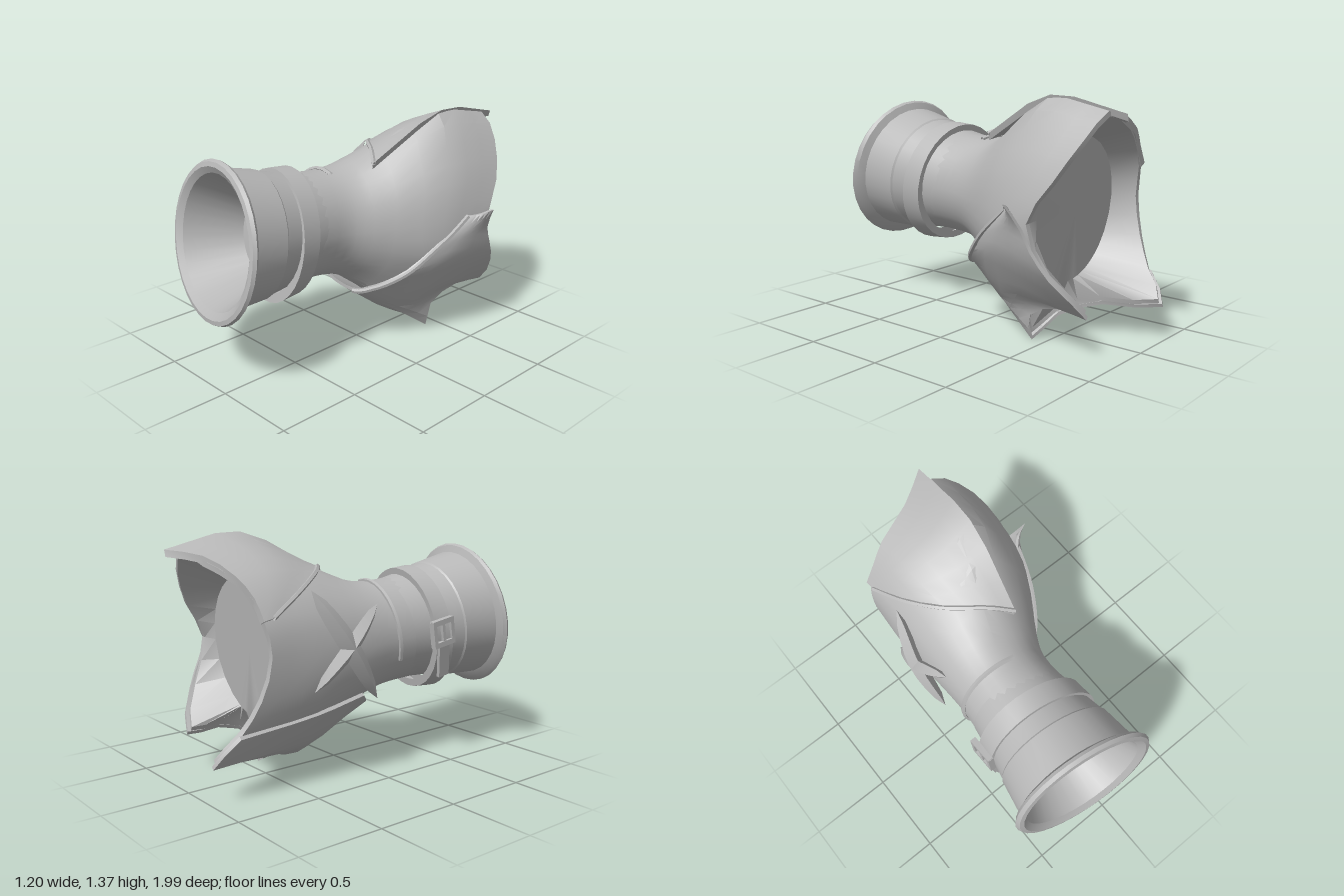
import * as THREE from 'three';
import { toCreasedNormals } from 'three/addons/utils/BufferGeometryUtils.js';

const steel = new THREE.MeshStandardMaterial({ color: 0xb8b8b8, side: THREE.DoubleSide });
steel.name = 'steel';

const V = (p) => new THREE.Vector3(...p);

// Skin a surface over a list of equal-length loops.
function loft(loops, closed = true, wrap = false) {
  const n = loops[0].length, pos = [], idx = [];
  loops.forEach((l) => l.forEach((p) => pos.push(p.x, p.y, p.z)));
  const rows = wrap ? loops.length : loops.length - 1;
  for (let i = 0; i < rows; i++) {
    for (let j = 0; j < (closed ? n : n - 1); j++) {
      const k = (j + 1) % n, r = ((i + 1) % loops.length) * n;
      const a = i * n + j, b = i * n + k, c = r + k, d = r + j;
      idx.push(a, b, c, a, c, d);
    }
  }
  const g = new THREE.BufferGeometry();
  g.setAttribute('position', new THREE.Float32BufferAttribute(pos, 3));
  g.setIndex(idx);
  return toCreasedNormals(g, 0.4);
}

// Point on a tilted elliptical section of the wrist: s = [z, cx, cy, rx, ry].
function onRing([z, cx, cy, rx, ry], a) {
  const x = Math.cos(a) * rx, y = Math.sin(a) * ry;
  return new THREE.Vector3(cx + x, cy + y, z + 0.12 * x - 0.15 * y);
}
function ringLoft(sections, n = 32) {
  return loft(sections.map((s) =>
    Array.from({ length: n }, (_, i) => onRing(s, (i / n) * Math.PI * 2))));
}

// Smooth each rail lengthwise, then smooth across the rails.
function railGrid(rails, steps, closed) {
  const lines = rails.map((r) => {
    const c = new THREE.CatmullRomCurve3(r, false, 'centripetal');
    return Array.from({ length: steps + 1 }, (_, i) => c.getPoint(i / steps));
  });
  const cols = closed ? rails.length * 2 : rails.length * 2 - 1;
  const out = Array.from({ length: cols }, () => []);
  for (let i = 0; i <= steps; i++) {
    const c = new THREE.CatmullRomCurve3(lines.map((l) => l[i]), closed, 'centripetal');
    out.forEach((col, j) => col.push(c.getPoint(j / (closed ? cols : cols - 1))));
  }
  return out;
}

// Pull a point toward the long axis.
function inset(p, t) {
  const dx = p.x - 0.02, dy = p.y - 0.75, d = Math.hypot(dx, dy) || 1;
  return new THREE.Vector3(p.x - (dx / d) * t, p.y - (dy / d) * t, p.z);
}

// Plate with thickness from a set of rails, closed at both side edges.
function plate(rails, t) {
  const cols = railGrid(rails.map((r) => r.map(V)), 6, false);
  const loops = cols.map((c) => [...c, ...c.map((p) => inset(p, t)).reverse()]);
  const edge = (c) => {
    const q = c.map((p) => inset(p, t));
    return [...q, ...q.slice().reverse()];
  };
  return loft([edge(cols[0]), ...loops, edge(cols[cols.length - 1])]);
}

// Raised lip along a run of points.
function lip(points, r) {
  return toCreasedNormals(new THREE.TubeGeometry(
    new THREE.CatmullRomCurve3(points, false, 'centripetal'), 20, r, 5), 0.6);
}

// Tapered blade of diamond section along a path.
function blade(points, width, depth) {
  const c = new THREE.CatmullRomCurve3(points.map(V));
  const out = new THREE.Vector3(-1, 0, 0), loops = [];
  for (let i = 0; i <= 8; i++) {
    const t = i / 8, k = Math.pow(Math.max(Math.sin(Math.PI * t), 0), 0.5) + 0.001;
    const p = c.getPoint(t);
    const side = c.getTangent(t).cross(out).normalize();
    const at = (s, o) => p.clone().addScaledVector(side, s * k).addScaledVector(out, o * k);
    loops.push([at(width, 0), at(0, depth), at(-width, 0), at(0, -depth)]);
  }
  return loft(loops);
}

export function createModel() {
  const group = new THREE.Group();
  const add = (name, geo, parent = group) => {
    const m = new THREE.Mesh(geo, steel);
    m.name = name;
    parent.add(m);
    return m;
  };

  // Flared wrist cuff with rolled rim, inner funnel and end disc
  add('wristCuff', ringLoft([
    [0.3, -0.14, 0.775, 0.285, 0.3], [0.5, -0.145, 0.79, 0.315, 0.325],
    [0.64, -0.15, 0.8, 0.341, 0.351], [0.65, -0.15, 0.8, 0.35, 0.36],
    [0.86, -0.165, 0.82, 0.378, 0.388], [0.88, -0.165, 0.82, 0.42, 0.43],
    [0.9, -0.165, 0.815, 0.437, 0.445], [0.92, -0.165, 0.815, 0.425, 0.435],
    [0.925, -0.165, 0.815, 0.4, 0.41], [0.9, -0.165, 0.815, 0.362, 0.372],
    [0.58, -0.145, 0.775, 0.22, 0.225], [0.58, -0.145, 0.775, 0.001, 0.001],
  ]));

  // Main body: angle at the wrist, middle point, back edge point
  const body = [
    [0, [0.42, 0.78, -0.3], [0.5, 0.74, -0.6]],
    [25, [0.4, 0.99, -0.37], [0.46, 0.96, -0.73]],
    [50, [0.31, 1.19, -0.43], [0.35, 1.17, -0.84]],
    [72, [0.18, 1.36, -0.5], [0.2, 1.31, -0.89]],
    [95, [-0.02, 1.27, -0.45], [0, 1.25, -0.87]],
    [120, [-0.22, 1.15, -0.42], [-0.22, 1.16, -0.8]],
    [150, [-0.37, 0.98, -0.4], [-0.38, 0.97, -0.75]],
    [180, [-0.42, 0.78, -0.4], [-0.41, 0.78, -0.72]],
    [205, [-0.41, 0.58, -0.4], [-0.38, 0.55, -0.77]],
    [228, [-0.35, 0.42, -0.4], [-0.32, 0.37, -0.86]],
    [245, [-0.22, 0.26, -0.37], [-0.24, 0.22, -0.97]],
    [258, [-0.13, 0.18, -0.33], [-0.12, 0.2, -0.67]],
    [272, [0, 0.12, -0.31], [0.03, 0.14, -0.47]],
    [288, [0.14, 0.21, -0.16], [0.19, 0.04, -0.41]],
    [298, [0.21, 0.24, -0.22], [0.22, 0.18, -0.43]],
    [312, [0.28, 0.33, -0.27], [0.25, 0.265, -0.64]],
    [325, [0.34, 0.42, -0.3], [0.28, 0.25, -0.82]],
    [342, [0.43, 0.57, -0.33], [0.45, 0.46, -0.7]],
  ].map(([deg, mid, end]) => {
    const a = THREE.MathUtils.degToRad(deg);
    return [onRing([0.4, -0.14, 0.78, 0.293, 0.308], a), onRing([0.17, -0.13, 0.765, 0.28, 0.31], a),
      onRing([0.02, -0.1, 0.755, 0.31, 0.345], a), V(mid), V(end)];
  });
  // The back edge turns in and funnels down to a flat, slightly leaning disc
  const inner = (p, k) => {
    const a = Math.atan2(p.y - 0.74, p.x - 0.02), y = Math.sin(a) * 0.41 * k;
    return new THREE.Vector3(0.02 + Math.cos(a) * 0.36 * k, 0.74 + y, -0.58 - 0.1 * y);
  };
  add('body', loft(railGrid(body, 12, true).map((c) => {
    const e = c[c.length - 1];
    return [...c, inset(e, 0.03), inner(e, 1), inner(e, 0.001)];
  }), false, true));

  // Lower guard wrapping under the body, with keel, arch and side spike
  const guard = [
    [[-0.34, 0.46, -0.05], [-0.365, 0.41, -0.4], [-0.335, 0.36, -0.87]],
    [[-0.24, 0.39, 0.05], [-0.24, 0.24, -0.36], [-0.25, 0.2, -0.99]],
    [[-0.16, 0.37, 0.07], [-0.14, 0.155, -0.33], [-0.12, 0.185, -0.68]],
    [[-0.05, 0.36, 0.09], [0, 0.09, -0.31], [0.03, 0.115, -0.48]],
    [[0.07, 0.36, 0.1], [0.15, 0.19, -0.16], [0.2, 0.005, -0.42]],
    [[0.12, 0.365, 0.08], [0.22, 0.22, -0.22], [0.23, 0.16, -0.43]],
    [[0.18, 0.39, 0.04], [0.3, 0.31, -0.27], [0.26, 0.245, -0.65]],
    [[0.24, 0.42, 0], [0.36, 0.4, -0.3], [0.29, 0.23, -0.84]],
    [[0.34, 0.5, -0.1], [0.45, 0.55, -0.35], [0.46, 0.45, -0.72]],
    [[0.42, 0.63, -0.24], [0.49, 0.66, -0.42], [0.51, 0.6, -0.63]],
    [[0.455, 0.71, -0.34], [0.51, 0.725, -0.46], [0.525, 0.71, -0.58]],
    [[0.48, 0.8, -0.45], [0.53, 0.81, -0.5], [0.6, 0.85, -0.53]],
  ];
  add('lowerGuard', plate(guard, 0.022));
  add('lowerGuardLip', lip(guard.slice(4).map((r) => V(r[0])), 0.014));

  // Raised crown plate over the top, pointed toward the wrist
  const crown = [
    [[0.11, 1.13, -0.03], [0.19, 1.375, -0.52], [0.19, 1.3, -0.99]],
    [[0, 1.17, -0.12], [-0.01, 1.3, -0.5], [0, 1.275, -0.87]],
    [[-0.19, 1.16, -0.28], [-0.22, 1.2, -0.55], [-0.22, 1.185, -0.81]],
    [[-0.32, 1.09, -0.48], [-0.33, 1.09, -0.63], [-0.33, 1.08, -0.77]],
    [[-0.395, 0.98, -0.7], [-0.398, 0.975, -0.73], [-0.4, 0.97, -0.76]],
  ];
  add('crownPlate', plate(crown, 0.04));
  add('crownLip', lip(crown.map((r) => V(r[0])), 0.014));

  // Wrist strap, and a seam over the outer side of the wrist
  add('strap', ringLoft([[0.42, 0.29, 0.323], [0.42, 0.335, 0.368], [0.54, 0.345, 0.378], [0.54, 0.3, 0.323]]
    .map(([z, rx, ry]) => [z, -0.145, 0.768, rx, ry])));
  add('seam', lip(Array.from({ length: 9 }, (_, i) =>
    onRing([0.19, -0.13, 0.765, 0.285, 0.313], 1.3 + i * 0.28)), 0.014));

  // Buckle on the strap with a hanging strap end
  const buckle = new THREE.Group();
  buckle.name = 'buckle';
  buckle.position.set(-0.485, 0.79, 0.42);
  buckle.rotation.x = -0.15;
  group.add(buckle);
  for (const s of [-1, 1]) {
    add('buckleBar', new THREE.BoxGeometry(0.035, 0.03, 0.16), buckle).position.y = s * 0.065;
    add('buckleSide', new THREE.BoxGeometry(0.035, 0.15, 0.025), buckle).position.z = s * 0.07;
  }
  add('bucklePin', new THREE.BoxGeometry(0.02, 0.13, 0.02), buckle).position.x = -0.005;
  const tail = add('strapEnd', new THREE.BoxGeometry(0.02, 0.2, 0.08), buckle);
  tail.position.set(0.015, -0.17, 0);
  tail.rotation.z = 0.15;

  // Crossed blades on the outer side
  add('bladeA', blade([[-0.39, 1.1, -0.46], [-0.45, 0.79, -0.25], [-0.43, 0.46, -0.03]], 0.06, 0.045));
  add('bladeB', blade([[-0.4, 0.99, -0.01], [-0.45, 0.79, -0.23], [-0.43, 0.56, -0.47]], 0.05, 0.04));

  return group;
}
